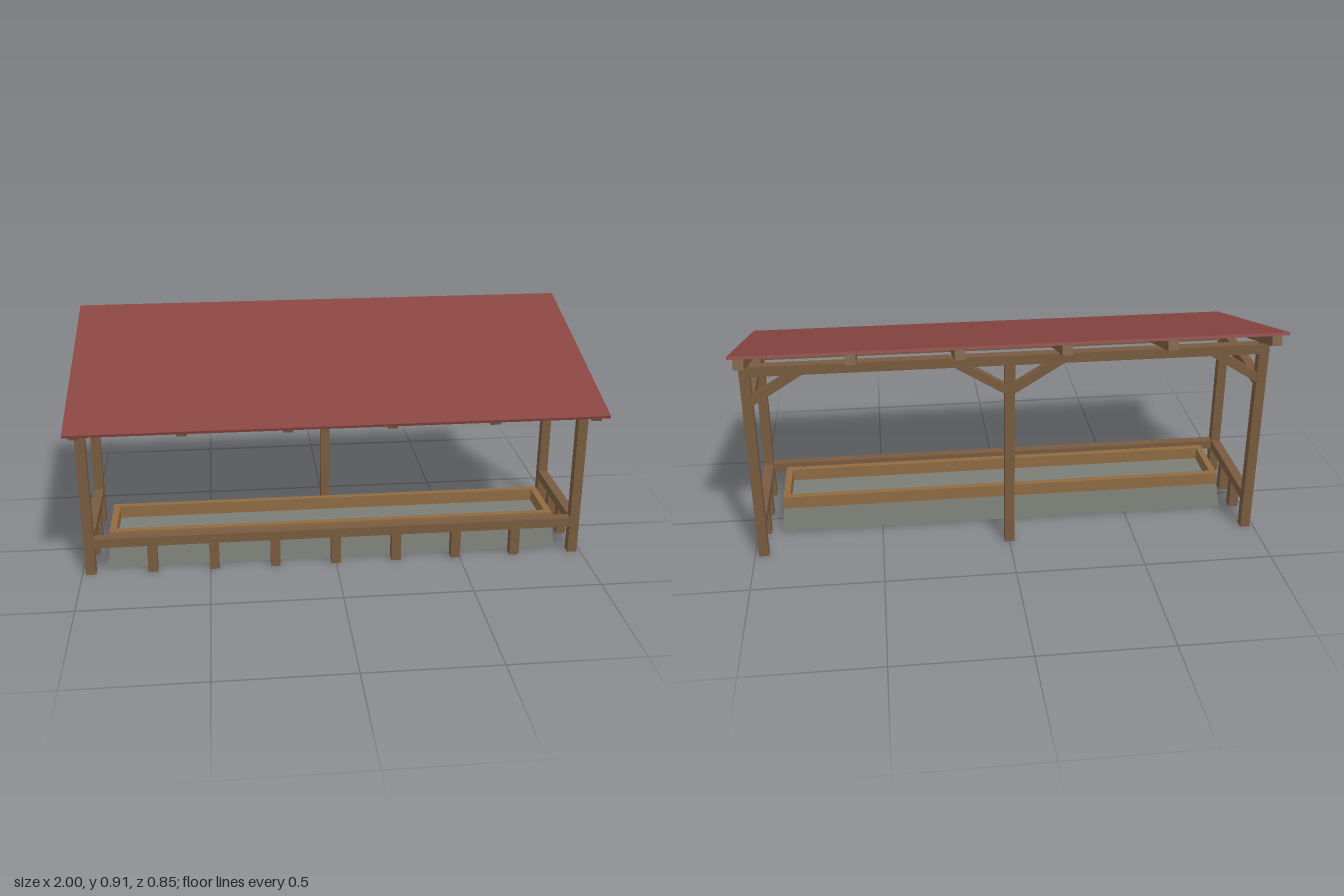
import * as THREE from 'three';

const T = 0.038;                 // timber section
const END = 0.966;               // x of the end posts
const FRONT = 0.209, BACK = -0.258;
const PITCH = 0.281;             // roof slope, rising to the back

export function createModel() {
  const group = new THREE.Group();
  const mat = (name, color) => {
    const m = new THREE.MeshStandardMaterial({ color });
    m.name = name;
    return m;
  };
  const timber = mat('timber', 0x785a3f);
  const plank = mat('light plank', 0x8f6b42);
  const stone = mat('stone', 0x7b7e76);
  const roofRed = mat('roof red', 0x884541);

  const box = (name, material, w, h, d, x, y, z) => {
    const mesh = new THREE.Mesh(new THREE.BoxGeometry(w, h, d), material);
    mesh.name = name;
    mesh.position.set(x, y, z);
    group.add(mesh);
    return mesh;
  };
  const post = (name, x, z, h) => box(name, timber, T, h, T, x, h / 2, z);

  // Roof sheet and rafters
  box('roof', roofRed, 2, 0.011, 0.878, 0, 0.7835, 0).rotation.x = PITCH;
  for (let i = 0; i < 6; i++) {
    const x = -END + (i * 2 * END) / 5;
    box('rafter', timber, T, 0.04, 0.8, x, 0.758, -0.009).rotation.x = PITCH;
  }

  // Main posts
  for (const s of [-1, 1]) {
    post('frontPost', s * END, FRONT, 0.682);
    post('backPost', s * END, BACK, 0.813);
  }
  post('backMiddlePost', 0, BACK, 0.804);

  // Long beams and front rail
  const span = 2 * END - T;
  box('frontBeam', timber, span, T, T, 0, 0.65, FRONT);
  box('backBeam', timber, span, T, T, 0, 0.786, BACK);
  box('frontRail', timber, span, T, T, 0, 0.134, FRONT);

  // End ties, end rails and their short posts
  const depth = FRONT - BACK - T, midZ = (FRONT + BACK) / 2;
  for (const s of [-1, 1]) {
    box('endTie', timber, T, T, depth, s * END, 0.648, midZ);
    box('endRail', timber, T, T, depth, s * END, 0.134, midZ);
    for (const z of [0.046, -0.096]) post('endShortPost', s * END, z, 0.115);
  }
  for (let i = 1; i < 8; i++) post('frontShortPost', -END + (i * END) / 4, FRONT, 0.115);

  // Diagonal braces from the back posts up to the back beam
  const brace = (x, dir) => {
    const dx = 0.2, dy = 0.125;
    const b = box('brace', timber, Math.hypot(dx, dy), 0.032, 0.032,
      x + dir * (0.008 + dx / 2), 0.661 + dy / 2, BACK);
    b.rotation.z = dir * Math.atan2(dy, dx);
  };
  brace(0, 1);
  brace(0, -1);
  brace(-END, 1);
  brace(END, -1);

  // Stone trough body, tapering towards the top
  const midTrough = 0.035;
  const body = box('troughBody', stone, 1.816, 0.1, 0.28, 0, 0.05, midTrough);
  const p = body.geometry.attributes.position;
  for (let i = 0; i < p.count; i++) {
    if (p.getY(i) > 0) {
      p.setX(i, Math.sign(p.getX(i)) * 0.89);
      p.setZ(i, Math.sign(p.getZ(i)) * 0.126);
    }
  }
  body.geometry.computeVertexNormals();

  // Plank rim around the trough
  const rimT = 0.026, rimH = 0.05;
  for (const s of [-1, 1]) {
    box('rimLong', plank, 1.78, rimH, rimT, 0, 0.125, midTrough + s * (0.126 - rimT / 2));
    box('rimEnd', plank, rimT, rimH, 0.252 - 2 * rimT, s * (0.89 - rimT / 2), 0.125, midTrough);
  }

  return group;
}
